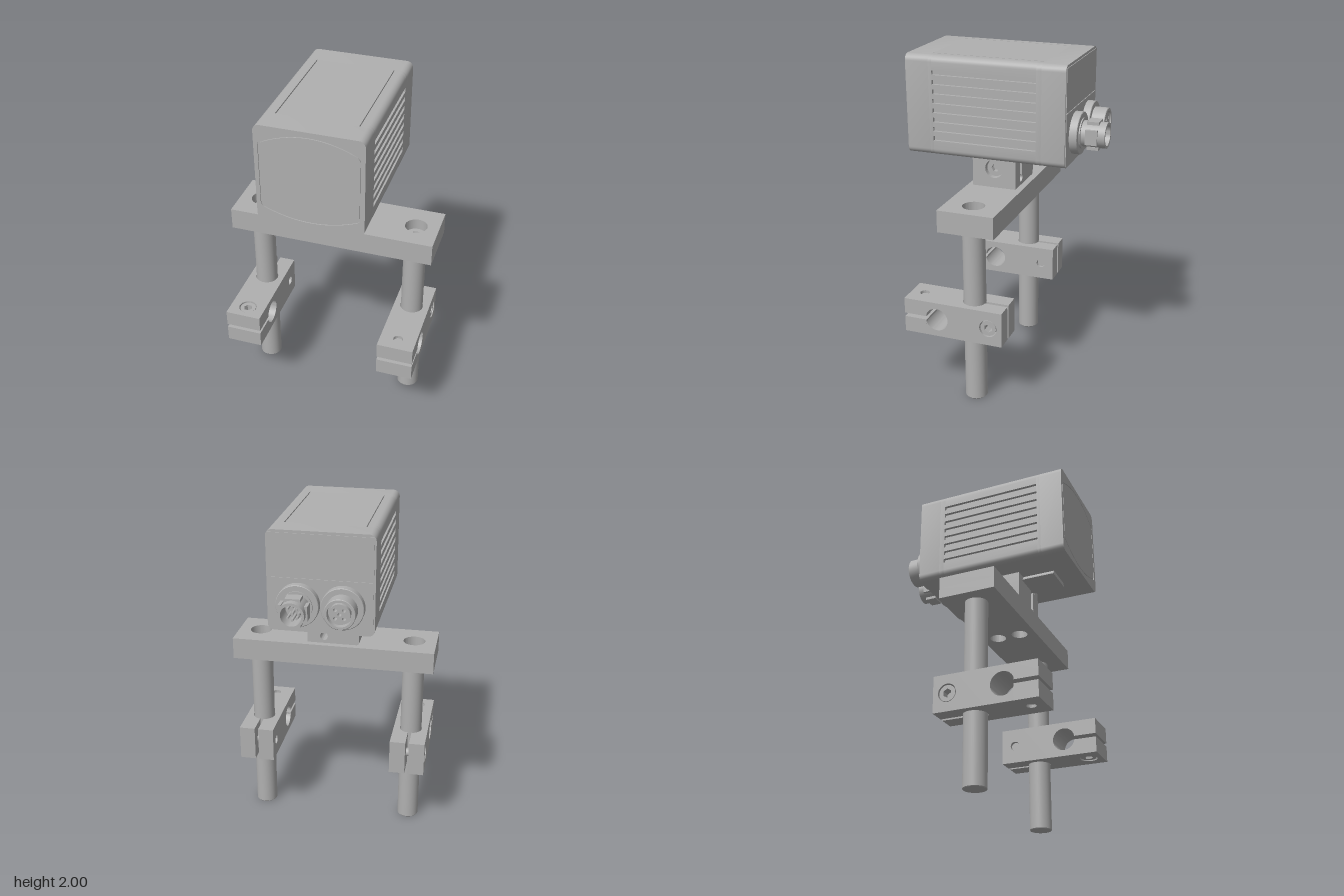
import * as THREE from 'three';
import { toCreasedNormals } from 'three/addons/utils/BufferGeometryUtils.js';

const grey = new THREE.MeshStandardMaterial({ color: 0xb0b0b0 });
grey.name = 'metal grey';

function add(parent, name, geo) {
  const mesh = new THREE.Mesh(geo, grey);
  mesh.name = name;
  parent.add(mesh);
  return mesh;
}

// ---- shape helpers ----
const poly = (pts) => new THREE.Shape(pts.map(([x, y]) => new THREE.Vector2(x, y)));
const rect = (x0, y0, x1, y1) => poly([[x0, y0], [x1, y0], [x1, y1], [x0, y1]]);
const disc = (r) => new THREE.Shape().absarc(0, 0, r, 0, Math.PI * 2, false);
function drill(shape, x, y, r, sides = 0) {
  const path = new THREE.Path();
  if (sides) {
    path.setFromPoints(Array.from({ length: sides + 1 }, (_, i) => {
      const a = -i * 2 * Math.PI / sides;
      return new THREE.Vector2(x + r * Math.cos(a), y + r * Math.sin(a));
    }));
  } else path.absarc(x, y, r, 0, Math.PI * 2, true);
  shape.holes.push(path);
  return shape;
}

// ---- extrusions along the three axes ----
function extrude(shape, depth) {
  const g = new THREE.ExtrudeGeometry(shape, { depth, bevelEnabled: false, curveSegments: 24 });
  return toCreasedNormals(g, 0.5);
}
const alongZ = (shape, z0, z1) => extrude(shape, z1 - z0).translate(0, 0, z0);
// shape drawn in (x, z), hanging down from yTop
const alongY = (shape, yTop, t) => extrude(shape, t).rotateX(Math.PI / 2).translate(0, yTop, 0);
// shape drawn in (z, y), running toward -x from xMax
const alongX = (shape, xMax, t) => extrude(shape, t).rotateY(-Math.PI / 2).translate(xMax, 0, 0);

// ---- housing section, with optional top grooves and side cooling slots ----
const W = 0.3, Y0 = 1.425, Y1 = 2.0, R = 0.037;
function housingOutline(grooves, slots) {
  const half = [];
  const arc = (cy, a0) => {
    for (let i = 0; i <= 6; i++) {
      const a = a0 + i * Math.PI / 12;
      half.push([W - R + R * Math.cos(a), cy + R * Math.sin(a)]);
    }
  };
  arc(Y0 + R, -Math.PI / 2);
  if (slots) {
    for (let i = 0; i < 8; i++) {
      const y = 1.525 + i * 0.0543, h = 0.013, d = W - 0.018;
      half.push([W, y - h], [d, y - h], [d, y + h], [W, y + h]);
    }
  }
  arc(Y1 - R, 0);
  if (grooves) half.push([0.229, Y1], [0.229, Y1 - 0.01], [0.223, Y1 - 0.01], [0.223, Y1]);
  return poly([...half, ...half.slice().reverse().map(([x, y]) => [-x, y])]);
}

// Barrel-sided window outline
function windowOutline(inset, Kind = THREE.Shape) {
  const w = 0.277 - inset, lo = 1.515 + inset, hi = 1.9 - inset, c = 0.02;
  const p = new Kind();
  p.moveTo(-w, lo + c);
  p.quadraticCurveTo(-w, lo, -w + c, lo - c * 0.5);
  p.quadraticCurveTo(0, 1.398 + inset, w - c, lo - c * 0.5);
  p.quadraticCurveTo(w, lo, w, lo + c);
  p.lineTo(w, hi - c);
  p.quadraticCurveTo(w, hi, w - c, hi + c * 0.5);
  p.quadraticCurveTo(0, 2.03 - inset, -w + c, hi + c * 0.5);
  p.quadraticCurveTo(-w, hi, -w, hi - c);
  p.closePath();
  return p;
}

function buildHousing(root) {
  const g = new THREE.Group();
  g.name = 'housing';
  root.add(g);
  add(g, 'rearCap', alongZ(housingOutline(false, false), -0.377, -0.24));
  add(g, 'shellRear', alongZ(housingOutline(true, false), -0.24, -0.21));
  add(g, 'slottedShell', alongZ(housingOutline(true, true), -0.21, 0.405));
  add(g, 'shellFront', alongZ(housingOutline(true, false), 0.405, 0.425));
  add(g, 'frontCap', alongZ(housingOutline(false, false), 0.425, 0.559));
  // Front frame and window separated by a fine groove
  const frame = housingOutline(false, false);
  frame.holes.push(windowOutline(0, THREE.Path));
  add(g, 'frontFrame', alongZ(frame, 0.559, 0.565));
  add(g, 'frontWindow', alongZ(windowOutline(0.005), 0.559, 0.565));
  // Back panels with a fine seam between
  add(g, 'backPanelLower', alongZ(rect(-0.29, 1.44, 0.29, 1.735), -0.381, -0.377));
  add(g, 'backPanelUpper', alongZ(rect(-0.29, 1.74, 0.29, 1.985), -0.381, -0.377));
}

// Round part on the back, facing -z, from a lathe profile of [radius, distance]
function backLathe(parent, name, pts) {
  const geo = new THREE.LatheGeometry(pts.map(([r, d]) => new THREE.Vector2(r, d)), 40);
  return add(parent, name, toCreasedNormals(geo.rotateX(-Math.PI / 2), 0.5));
}

function buildConnectors(root) {
  // Both are built with distance measured backward from the housing
  const plug = new THREE.Group(), socket = new THREE.Group();
  plug.name = 'pinConnector';
  socket.name = 'socketConnector';
  plug.position.set(0.122, 1.591, -0.38);
  socket.position.set(-0.127, 1.591, -0.38);
  root.add(plug, socket);
  const flange = [[0.12, 0], [0.12, 0.043], [0.117, 0.046]];
  backLathe(plug, 'plugShell', [...flange, [0.087, 0.046], [0.087, 0.053], [0.073, 0.053],
    [0.073, 0.19], [0.058, 0.19], [0.058, 0.07], [0, 0.07]]);
  for (let i = 0; i < 8; i++) {
    const a = i * Math.PI / 4, r = i ? 0.036 : 0;
    add(plug, 'pin', new THREE.CylinderGeometry(0.007, 0.007, 0.09, 10).rotateX(Math.PI / 2)
      .translate(r * Math.cos(a), r * Math.sin(a), -0.115));
  }
  for (let i = 0; i < 4; i++) {
    add(plug, 'lockingLug', new THREE.BoxGeometry(0.018, 0.085, 0.068)
      .translate(0.072, 0, -0.115).rotateZ(i * Math.PI / 2));
  }
  backLathe(socket, 'socketShell', [...flange, [0.087, 0.046], [0.087, 0.122], [0.084, 0.125],
    [0.07, 0.125], [0.07, 0.085], [0, 0.085]]);
  const insert = drill(disc(0.058), 0, 0, 0.01);
  for (let i = 0; i < 4; i++) {
    const a = Math.PI / 4 + i * Math.PI / 2;
    drill(insert, 0.034 * Math.cos(a), 0.034 * Math.sin(a), 0.01);
  }
  add(socket, 'socketInsert', alongZ(insert, -0.12, -0.08));
}

// Dovetail rail and the split block that grips it
function buildMount(root) {
  const g = new THREE.Group();
  g.name = 'dovetailMount';
  root.add(g);
  const rail = poly([[-0.095, 1.4], [0.095, 1.4], [0.095, 1.406], [0.08, 1.426], [-0.08, 1.426], [-0.095, 1.406]]);
  add(g, 'rail', alongZ(rail, -0.24, 0.425));
  const b = new THREE.Shape();
  b.moveTo(-0.14, 1.215);
  b.lineTo(0.1, 1.215);
  for (const [x, y] of [[0.1, 1.42], [0.085, 1.42], [0.098, 1.403], [0.098, 1.39], [0.07, 1.39], [0.07, 1.272]]) b.lineTo(x, y);
  b.absarc(0.0525, 1.257, 0.023, 0.71, Math.PI - 0.71, true);
  for (const [x, y] of [[0.035, 1.39], [-0.098, 1.39], [-0.098, 1.403], [-0.085, 1.42], [-0.158, 1.42], [-0.158, 1.233]]) b.lineTo(x, y);
  b.quadraticCurveTo(-0.158, 1.215, -0.14, 1.215);
  add(g, 'block', alongZ(b, -0.037, 0.228));
  add(g, 'blockCheek', alongX(drill(rect(-0.037, 1.215, 0.228, 1.42), 0.095, 1.328, 0.055), 0.152, 0.052));
  const head = alongX(drill(disc(0.05), 0, 0, 0.024, 6), 0.13, 0.029);
  add(g, 'clampScrew', head.translate(0, 1.328, 0.095));
}

// Cross plate, counterbored from above for the posts and from below for the block
function buildPlate(root) {
  for (const upper of [true, false]) {
    const s = rect(-0.605, -0.075, 0.605, 0.26);
    for (const x of [-0.472, 0.472]) drill(s, x, 0.093, upper ? 0.065 : 0.037);
    for (const z of [0.023, 0.163]) drill(s, 0, z, upper ? 0.026 : 0.048);
    add(root, upper ? 'crossPlateTop' : 'crossPlateBottom', alongY(s, upper ? 1.215 : 1.15, 0.065));
  }
}

// Half of a cross clamp: bore along x, slit and screw at the +z end, head on top
function clampHalf(name) {
  const g = new THREE.Group(), H = 0.1065, s = 0.011, cut = 0.165;
  g.name = name;
  const body = new THREE.Shape();
  const a = Math.asin(s / 0.069);
  body.moveTo(0, -H);
  body.lineTo(cut, -H);
  body.lineTo(cut, -s);
  body.absarc(0.1, 0, 0.069, -a, a, true);
  for (const [z, y] of [[cut, s], [cut, H], [0, H]]) body.lineTo(z, y);
  body.closePath();
  // Bore reaches slightly past the cut, so stop the jaw just inside it
  const bored = rect(0, -H, 0.1, H);
  bored.curves.length = 0;
  bored.setFromPoints([[0, -H], [cut, -H], [cut, -0.0232]].map(([x, y]) => new THREE.Vector2(x, y)));
  const t = Math.asin(0.0232 / 0.069);
  bored.absarc(0.1, 0, 0.069, -t, t - 2 * Math.PI, true);
  for (const [z, y] of [[cut, H], [0, H]]) bored.lineTo(z, y);
  bored.closePath();
  add(g, 'boredJaw', alongX(bored, H, 2 * H));
  const tip = (r) => drill(rect(-H, cut, H, 0.303), 0, 0.22, r);
  add(g, 'jawTipCounterbore', alongY(tip(0.053), H, 0.06));
  add(g, 'jawTipUpper', alongY(tip(0.029), H - 0.06, H - 0.06 - s));
  add(g, 'jawTipLower', alongY(tip(0.028), -s, H - s));
  add(g, 'screwHead', alongY(drill(disc(0.047), 0, 0, 0.026, 6), H - 0.005, 0.05).translate(0, 0, 0.22));
  add(g, 'screwShaft', new THREE.CylinderGeometry(0.026, 0.026, 0.14, 24).translate(0, -0.02, 0.22));
  return g;
}

function buildSide(root, side) {
  // Post with a tapped hole in its top end
  const pts = [[0, 0], [0.063, 0], [0.066, 0.004], [0.066, 1.085], [0.029, 1.085], [0.029, 0.97], [0, 0.95]];
  const post = new THREE.LatheGeometry(pts.map(([r, y]) => new THREE.Vector2(r, y)), 40);
  add(root, side > 0 ? 'leftPost' : 'rightPost', toCreasedNormals(post, 0.5)).position.set(side * 0.472, 0, 0.095);
  // Clamp: two halves, the rear one turned a quarter about the clamp axis
  const clamp = new THREE.Group();
  clamp.name = side > 0 ? 'leftCrossClamp' : 'rightCrossClamp';
  const rear = clampHalf('rearHalf');
  rear.quaternion.setFromRotationMatrix(new THREE.Matrix4().makeBasis(
    new THREE.Vector3(0, -1, 0), new THREE.Vector3(-1, 0, 0), new THREE.Vector3(0, 0, -1)));
  clamp.add(clampHalf('frontHalf'), rear);
  clamp.position.set(side * 0.472, 0.517, 0.195);
  if (side > 0) clamp.rotation.z = Math.PI;
  root.add(clamp);
}

export function createModel() {
  const root = new THREE.Group();
  root.name = 'sensorOnStand';
  buildHousing(root);
  buildConnectors(root);
  buildMount(root);
  buildPlate(root);
  for (const side of [-1, 1]) buildSide(root, side);
  return root;
}
